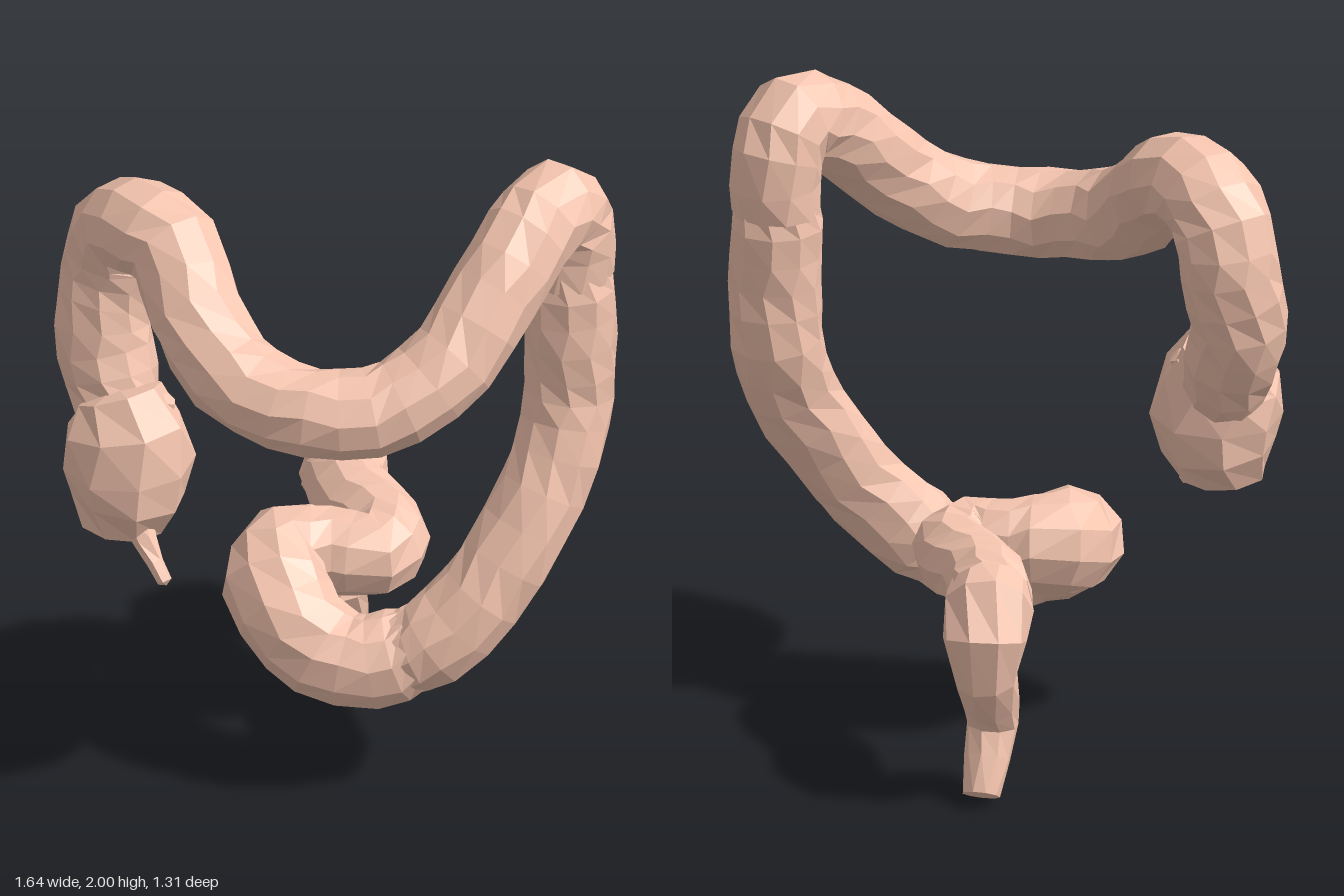
import * as THREE from 'three';

const material = new THREE.MeshStandardMaterial({ color: 0xf6c6b0, flatShading: true, side: THREE.DoubleSide });

// Sweeps a faceted tube through stations [x, y, z, radius].
function organTube(name, stations, sides, steps, bump = 0) {
  const curve = new THREE.CatmullRomCurve3(stations.map(s => new THREE.Vector3(s[0], s[1], s[2])));
  const spans = stations.length - 1, rings = spans * steps;
  const positions = [], index = [];
  const normal = new THREE.Vector3(), tangent = new THREE.Vector3(), last = new THREE.Vector3();
  const turn = new THREE.Quaternion();
  for (let i = 0; i <= rings; i++) {
    const t = i / rings;
    const k = Math.min(Math.floor(i / steps), spans - 1);
    const r = THREE.MathUtils.lerp(stations[k][3], stations[k + 1][3], i / steps - k);
    const centre = curve.getPoint(t);
    curve.getTangent(t, tangent);
    // carry the ring's reference direction along the path without twisting
    if (i === 0) normal.set(0.3, 0.2, 1).cross(tangent).normalize();
    else normal.applyQuaternion(turn.setFromUnitVectors(last, tangent));
    last.copy(tangent);
    const side = tangent.clone().cross(normal);
    for (let j = 0; j < sides; j++) {
      const a = (j + Math.sin(i * 1.9) * 0.18) / sides * Math.PI * 2;
      const rr = r * (1 + bump * Math.sin(i * 2.3 + j * 1.7));
      const p = centre.clone().addScaledVector(normal, Math.cos(a) * rr).addScaledVector(side, Math.sin(a) * rr);
      positions.push(p.x, p.y, p.z);
      if (i < rings) {
        const b = i * sides + j, c = i * sides + (j + 1) % sides;
        index.push(b, c, b + sides, c, c + sides, b + sides);
      }
    }
  }
  const geometry = new THREE.BufferGeometry();
  geometry.setAttribute('position', new THREE.Float32BufferAttribute(positions, 3));
  geometry.setIndex(index);
  geometry.computeVertexNormals();
  const mesh = new THREE.Mesh(geometry, material);
  mesh.name = name;
  return mesh;
}

export function createModel() {
  const group = new THREE.Group();
  group.name = 'largeIntestine';

  // Blind pouch and the rising limb, up to the first bend
  group.add(organTube('caecum', [
    [-0.61, 0.76, 0.14, 0], [-0.61, 0.78, 0.14, 0.12], [-0.595, 0.88, 0.13, 0.175],
    [-0.59, 0.98, 0.125, 0.19], [-0.605, 1.1, 0.12, 0.175], [-0.62, 1.19, 0.09, 0.13], [-0.63, 1.21, 0.08, 0],
  ], 8, 1, 0.04));
  group.add(organTube('ascendingAndTransverseColon', [
    [-0.61, 1.06, 0.07, 0.12], [-0.65, 1.2, 0.0, 0.14], [-0.68, 1.35, -0.05, 0.145],
    [-0.655, 1.51, -0.08, 0.145], [-0.635, 1.64, -0.065, 0.145], [-0.57, 1.72, 0.01, 0.145],
    [-0.46, 1.71, 0.12, 0.14], [-0.385, 1.59, 0.27, 0.14], [-0.28, 1.475, 0.4, 0.14],
    [-0.12, 1.425, 0.49, 0.133], [0.05, 1.415, 0.52, 0.133], [0.22, 1.445, 0.485, 0.133],
    [0.37, 1.55, 0.4, 0.133], [0.48, 1.7, 0.28, 0.135], [0.57, 1.82, 0.16, 0.135],
    [0.64, 1.865, 0.06, 0.137], [0.68, 1.77, -0.005, 0.135], [0.68, 1.6, -0.01, 0.13],
  ], 10, 2, 0.02));

  // Falling limb, the loop at the bottom and the final outlet
  group.add(organTube('descendingColon', [
    [0.68, 1.72, -0.01, 0.11], [0.68, 1.56, -0.005, 0.137],
    [0.685, 1.38, 0, 0.137], [0.68, 1.2, 0, 0.137], [0.65, 1.02, 0.06, 0.133],
    [0.56, 0.82, 0.15, 0.133], [0.44, 0.63, 0.23, 0.133], [0.3, 0.49, 0.27, 0.137],
    [0.2, 0.44, 0.275, 0.12],
  ], 10, 2, 0.02));
  group.add(organTube('sigmoidColon', [
    [0.32, 0.51, 0.265, 0.11], [0.2, 0.44, 0.272, 0.137], [0.05, 0.415, 0.27, 0.142],
    [-0.08, 0.475, 0.22, 0.15], [-0.165, 0.565, 0.11, 0.157], [-0.13, 0.6, -0.01, 0.15],
    [-0.01, 0.6, -0.025, 0.13], [0.11, 0.6, -0.02, 0.125], [0.15, 0.6, -0.1, 0.122],
    [0.1, 0.605, -0.21, 0.12], [0.02, 0.605, -0.33, 0.122], [0, 0.595, -0.44, 0.125],
  ], 10, 2, 0.025));
  group.add(organTube('rectum', [
    [0.01, 0.6, -0.36, 0.115], [0, 0.585, -0.48, 0.132], [0, 0.51, -0.54, 0.125],
    [0, 0.39, -0.535, 0.095], [-0.01, 0.29, -0.48, 0.082], [-0.01, 0.21, -0.445, 0.077],
    [0, 0.12, -0.49, 0.068], [0.01, 0.025, -0.55, 0.055], [0.01, 0.02, -0.553, 0],
  ], 9, 1, 0.02));

  // Small worm-like tail under the pouch
  group.add(organTube('appendix', [
    [-0.57, 0.84, 0.19, 0.05], [-0.535, 0.78, 0.24, 0.035], [-0.505, 0.735, 0.28, 0.025],
    [-0.475, 0.69, 0.31, 0.022], [-0.47, 0.68, 0.315, 0],
  ], 6, 1));

  // Short stub where the small bowel would join
  group.add(organTube('bowelStub', [
    [-0.58, 1.07, 0.1, 0.07], [-0.52, 1.14, 0.09, 0.06], [-0.49, 1.18, 0.08, 0.04], [-0.485, 1.19, 0.08, 0],
  ], 7, 1));

  return group;
}
